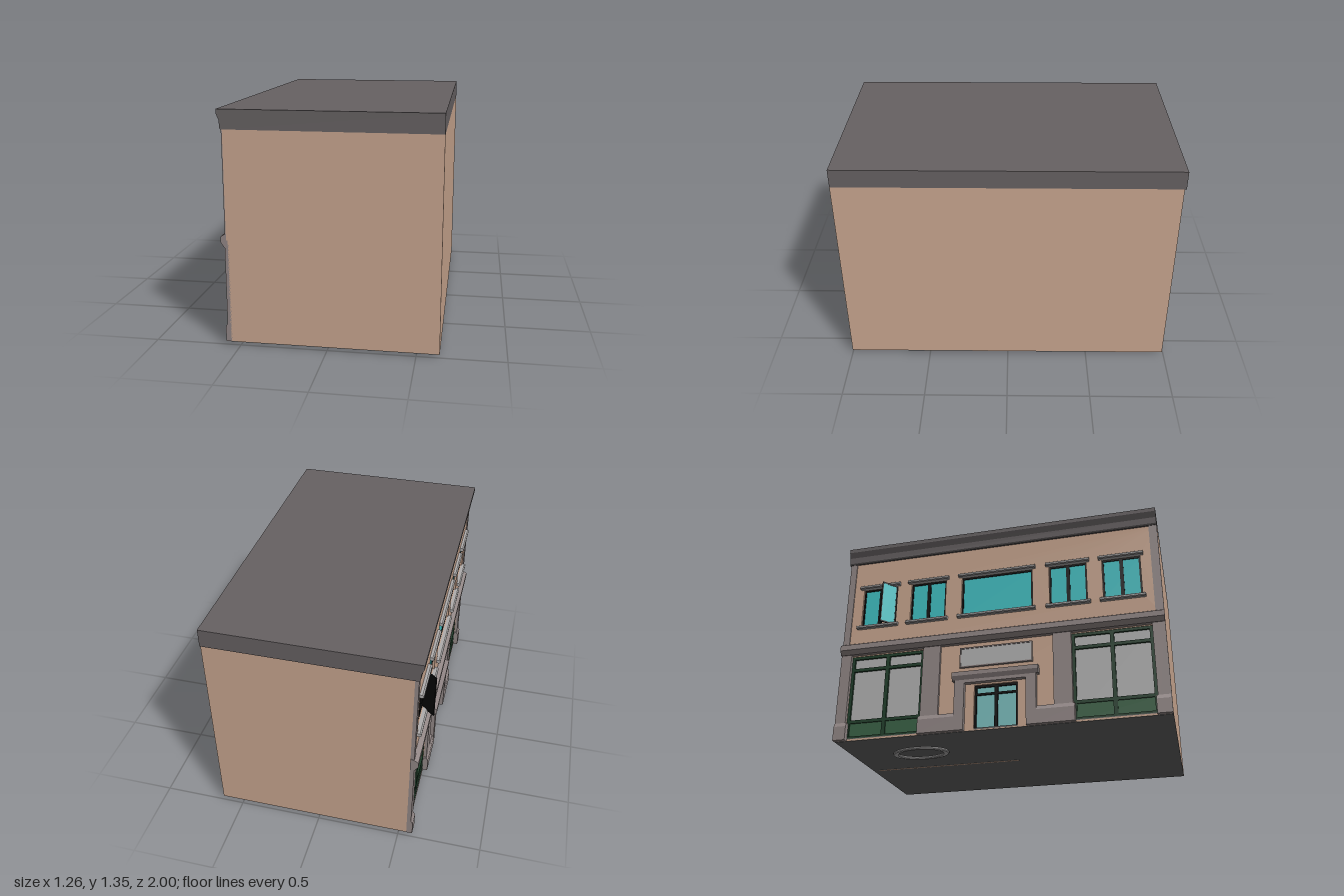
import * as THREE from 'three';

const mat = (color) => new THREE.MeshStandardMaterial({ color, flatShading: true });
const M = {
  wall: mat(0xcaa790), dark: mat(0x676263), stone: mat(0x938887), trim: mat(0xb0aeae),
  teal: mat(0x40c2c5), doorGlass: mat(0x7cc0c0), glass: mat(0xb4b4b4), black: mat(0x0c0c0c),
  green: mat(0x22402c), panel: mat(0x3a6246), floor: mat(0x666666), inside: mat(0xcccccc),
};

export function createModel() {
  const model = new THREE.Group();
  model.name = 'shopBuilding';

  const add = (name, geo, m, parent = model) => {
    const mesh = new THREE.Mesh(geo, m);
    mesh.name = name;
    parent.add(mesh);
    return mesh;
  };
  // Box given by its limits on each axis
  const box = (name, [x0, x1], [y0, y1], [z0, z1], m, parent) => {
    const g = new THREE.BoxGeometry(x1 - x0, y1 - y0, z1 - z0);
    g.translate((x0 + x1) / 2, (y0 + y1) / 2, (z0 + z1) / 2);
    return add(name, g, m, parent);
  };
  // Profile in x/y run along z
  const moulding = (name, pts, z0, z1, m) => {
    const shape = new THREE.Shape(pts.map((p) => new THREE.Vector2(...p)));
    const g = new THREE.ExtrudeGeometry(shape, { depth: z1 - z0, bevelEnabled: false });
    g.translate(0, 0, z0);
    return add(name, g, m);
  };
  const rect = (Type, z0, z1, y0, y1) => new Type([[z0, y0], [z1, y0], [z1, y1], [z0, y1]].map((p) => new THREE.Vector2(...p)));
  // Street wall with openings [z0, z1, y0, y1]; outer face at xOut
  const facade = (name, xOut, y0, y1, holes, m) => {
    const depth = 0.035;
    const shape = rect(THREE.Shape, -0.99, 1, y0, y1);
    holes.forEach((h) => shape.holes.push(rect(THREE.Path, ...h)));
    const g = new THREE.ExtrudeGeometry(shape, { depth, bevelEnabled: false });
    g.rotateY(-Math.PI / 2).translate(xOut + depth, 0, 0);
    return add(name, g, m);
  };
  // Four bars around an opening
  const frame = (name, x, [z0, z1, y0, y1], t, m) => {
    box(name, x, [y0, y1], [z0, z0 + t], m);
    box(name, x, [y0, y1], [z1 - t, z1], m);
    box(name, x, [y0, y0 + t], [z0, z1], m);
    box(name, x, [y1 - t, y1], [z0, z1], m);
  };

  // Openings
  const upper = [[-0.77, 0.115], [-0.445, 0.115], [0, 0.225], [0.445, 0.115], [0.77, 0.115]]
    .map(([c, h]) => [c - h, c + h, 0.775, 1.045]);
  const shops = [[-0.925, -0.455, 0.03, 0.57], [0.455, 0.925, 0.03, 0.57]];
  const door = [-0.13, 0.13, 0.025, 0.3];

  // Shell
  facade('lowerStreetWall', -0.557, 0.02, 0.62, [...shops, door], M.wall);
  facade('upperStreetWall', -0.566, 0.62, 1.24, upper, M.wall);
  box('rearWall', [0.61, 0.63], [0.02, 1.24], [-0.99, 1], M.wall);
  box('sideWall', [-0.557, 0.63], [0.02, 1.24], [0.98, 1], M.wall);
  box('sideWall', [-0.557, 0.63], [0.02, 1.24], [-0.99, -0.97], M.wall);
  box('groundFloor', [-0.556, 0.629], [0.018, 0.035], [-0.989, 0.999], M.floor);
  box('upperFloor', [-0.52, 0.61], [0.61, 0.63], [-0.97, 0.98], M.inside);
  box('partitionWall', [0.025, 0.037], [0.0165, 1.24], [-0.95, 0], M.wall);

  // Roof slab with moulded street edge
  moulding('roofCornice', [[-0.575, 1.24], [0.63, 1.24], [0.63, 1.35], [-0.597, 1.35],
    [-0.597, 1.325], [-0.582, 1.29], [-0.58, 1.25]], -1, 1, M.dark);

  // Ledge between the floors
  moulding('floorLedge', [[-0.55, 0.575], [-0.55, 0.66], [-0.572, 0.655], [-0.597, 0.64],
    [-0.597, 0.605], [-0.578, 0.578]], -0.995, 1, M.stone);

  // Pilasters and plinths, mirrored about the door
  for (const s of [-1, 1]) {
    const span = (a, b) => (s > 0 ? [a, b] : [-b, -a]);
    const end = s > 0 ? 1 : 0.992;
    box('outerPilaster', [-0.575, -0.55], [0.02, 0.6], span(0.925, end), M.stone);
    box('upperPilaster', [-0.572, -0.55], [0.65, 1.24], span(0.95, end), M.stone);
    box('innerPilaster', [-0.575, -0.55], [0.02, 0.6], span(0.345, 0.455), M.stone);
    for (const [a, b] of [[0.915, end], [0.24, 0.465]]) {
      const [z0, z1] = span(a, b);
      moulding('plinth', [[-0.586, 0.02], [-0.55, 0.02], [-0.55, 0.13], [-0.575, 0.13], [-0.586, 0.105]], z0, z1, M.stone);
    }
    box('doorJamb', [-0.586, -0.55], [0.02, 0.34], span(0.185, 0.245), M.stone);
  }

  // Door surround and sign board
  box('doorLintel', [-0.586, -0.55], [0.31, 0.34], [-0.245, 0.245], M.stone);
  moulding('doorHood', [[-0.55, 0.33], [-0.55, 0.38], [-0.597, 0.38], [-0.597, 0.355], [-0.586, 0.33]], -0.26, 0.26, M.stone);
  box('signBoard', [-0.568, -0.55], [0.425, 0.54], [-0.215, 0.215], M.glass);
  frame('signBorder', [-0.572, -0.55], [-0.222, 0.222, 0.418, 0.547], 0.008, M.stone);

  // Double door
  box('doorGlass', [-0.535, -0.53], [0.025, 0.3], [-0.13, 0.13], M.doorGlass);
  frame('doorFrame', [-0.545, -0.528], door, 0.012, M.black);
  box('doorMeetingBar', [-0.545, -0.528], [0.025, 0.3], [-0.01, 0.01], M.black);
  box('doorTransom', [-0.545, -0.528], [0.24, 0.252], [-0.13, 0.13], M.black);

  // Shop windows
  for (const w of shops) {
    const [z0, z1, y0, y1] = w, c = (z0 + z1) / 2;
    box('shopGlass', [-0.54, -0.53], [y0, y1], [z0, z1], M.glass);
    box('shopPanel', [-0.546, -0.53], [y0, 0.13], [z0, z1], M.panel);
    frame('shopFrame', [-0.553, -0.528], w, 0.018, M.green);
    box('shopMullion', [-0.553, -0.528], [y0, y1], [c - 0.012, c + 0.012], M.green);
    for (const y of [0.13, 0.47]) box('shopRail', [-0.553, -0.528], [y, y + 0.02], [z0, z1], M.green);
  }

  // Upper windows with head and sill mouldings
  upper.forEach((w, i) => {
    const [z0, z1, y0, y1] = w, c = (z0 + z1) / 2;
    box('windowGlass', [-0.547, -0.54], [y0, y1], [z0, i === 0 ? c : z1], M.teal);
    frame('windowFrame', [-0.553, -0.535], w, 0.01, M.black);
    if (i !== 2) box('windowMullion', [-0.553, -0.535], [y0, y1], [c - 0.011, c + 0.011], M.black);
    for (const [name, y] of [['windowSill', 0.755], ['windowHead', 1.043]]) {
      moulding(name, [[-0.56, y], [-0.56, y + 0.022], [-0.582, y + 0.022], [-0.59, y + 0.016],
        [-0.59, y + 0.005], [-0.584, y]], z0 - 0.02, z1 + 0.02, M.trim);
    }
  });

  // Casement standing open
  const casement = new THREE.Group();
  casement.name = 'openCasement';
  casement.position.set(-0.55, 0, -0.667);
  casement.rotation.y = 0.888;
  model.add(casement);
  box('casementGlass', [-0.003, 0], [0.775, 1.045], [-0.1, 0], M.teal, casement);
  box('casementBack', [0, 0.002], [0.775, 1.045], [-0.1, 0], M.black, casement);
  for (const y of [0.768, 1.04]) box('casementRail', [-0.004, 0.003], [y, y + 0.01], [-0.103, 0], M.black, casement);
  for (const z of [-0.103, -0.006]) box('casementStile', [-0.004, 0.003], [0.768, 1.05], [z, z + 0.006], M.black, casement);

  // Oval ring under the floor
  const ring = new THREE.TorusGeometry(0.09, 0.011, 8, 32);
  ring.rotateX(Math.PI / 2).scale(1.04, 0.9, 1.78).translate(-0.265, 0.01, -0.55);
  add('baseRing', ring, M.trim);

  return model;
}
